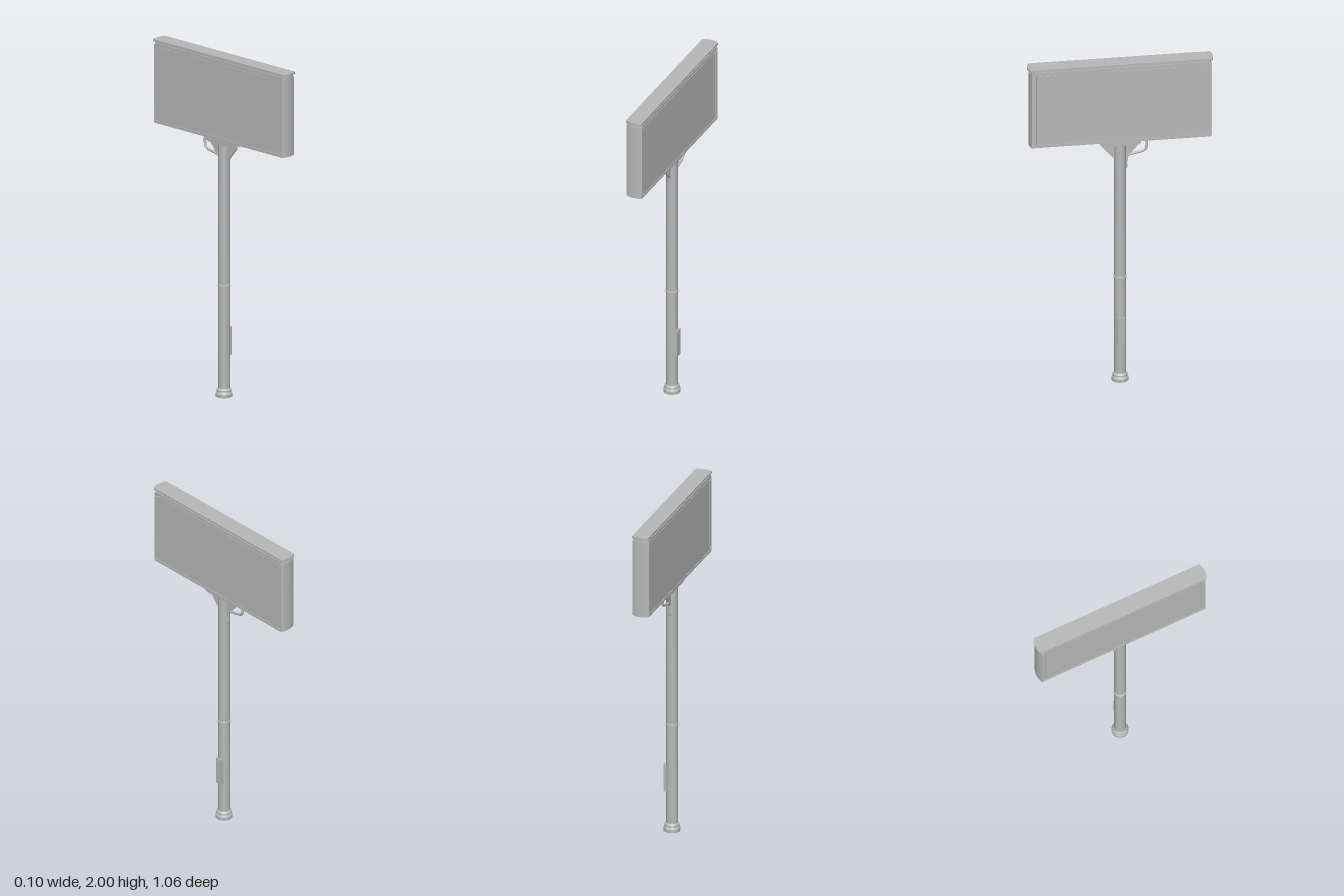
import * as THREE from 'three';
import { toCreasedNormals } from 'three/addons/utils/BufferGeometryUtils.js';

export function createModel() {
  const model = new THREE.Group();
  const grey = new THREE.MeshStandardMaterial({ color: 0xb8b8b8 });

  function add(name, geometry, x = 0, y = 0, z = 0) {
    const mesh = new THREE.Mesh(geometry, grey);
    mesh.name = name;
    mesh.position.set(x, y, z);
    model.add(mesh);
    return mesh;
  }
  const box = (w, h, d) => new THREE.BoxGeometry(w, h, d);

  // Upright slab whose plan has bowed ends; from/to are z distances
  function bowedSlab(halfW, from, to, bulge, height) {
    const plan = new THREE.Shape();
    plan.moveTo(-halfW, from);
    if (from < 0) plan.quadraticCurveTo(0, from - 2 * bulge, halfW, from);
    else plan.lineTo(halfW, from);
    plan.lineTo(halfW, to);
    plan.quadraticCurveTo(0, to + 2 * bulge, -halfW, to);
    const g = new THREE.ExtrudeGeometry(plan, { depth: height, bevelEnabled: false, curveSegments: 16 });
    g.rotateX(-Math.PI / 2);
    return toCreasedNormals(g, 0.5);
  }

  // Pole with flared foot and joint collar
  const profile = [
    [0, 0], [0.048, 0], [0.048, 0.018], [0.042, 0.032], [0.042, 0.04], [0.037, 0.046],
    [0.033, 0.05], [0.033, 0.645], [0.038, 0.647], [0.038, 0.656], [0.033, 0.658],
    [0.033, 1.49], [0, 1.49],
  ].map(([r, y]) => new THREE.Vector2(r, y));
  add('pole', toCreasedNormals(new THREE.LatheGeometry(profile, 32), 0.4));

  // Access door
  add('accessDoor', box(0.022, 0.165, 0.042), 0.031, 0.322, 0);
  const lock = add('doorLock', new THREE.CylinderGeometry(0.004, 0.004, 0.003, 12), 0.043, 0.385, 0);
  lock.rotation.z = Math.PI / 2;

  // Mounting plates and gussets under the cabinet
  add('mountPlate', box(0.066, 0.018, 0.23), 0, 1.497, 0);
  add('mountLowerPlate', box(0.056, 0.008, 0.21), 0, 1.485, 0);
  const rib = new THREE.Shape();
  rib.moveTo(0.025, 1.395);
  rib.lineTo(0.04, 1.395);
  rib.lineTo(0.104, 1.47);
  rib.lineTo(0.104, 1.486);
  rib.lineTo(0.025, 1.486);
  for (const side of [0, 1]) {
    const g = new THREE.ExtrudeGeometry(rib, { depth: 0.01, bevelEnabled: false });
    g.translate(0, 0, -0.005);
    add('gusset', g).rotation.y = -Math.PI / 2 + side * Math.PI;
  }

  // Cable conduit on the back
  const bend = new THREE.CatmullRomCurve3([
    [1.51, -0.152], [1.46, -0.152], [1.438, -0.146], [1.427, -0.127], [1.418, -0.085],
    [1.41, -0.052], [1.397, -0.037], [1.37, -0.034], [1.335, -0.034],
  ].map(([y, z]) => new THREE.Vector3(0, y, z)));
  add('conduit', new THREE.TubeGeometry(bend, 48, 0.0075, 12));
  const end = new THREE.SphereGeometry(0.0075, 12, 8);
  add('conduitEnd', end, 0, 1.335, -0.034);

  // Sign cabinet
  add('cabinetCore', bowedSlab(0.043, -0.508, 0.508, 0.01, 0.478), 0, 1.509, 0);
  add('cabinetCap', bowedSlab(0.049, -0.518, 0.518, 0.012, 0.012), 0, 1.988, 0);
  for (const side of [0, 1]) {
    const post = add('endCover', bowedSlab(0.049, 0.503, 0.511, 0.011, 0.458), 0, 1.513, 0);
    post.rotation.y = side * Math.PI;
  }

  // Frame and raised trim on both faces
  for (const s of [-1, 1]) {
    add('displayPanel', box(0.004, 0.43, 0.97), s * 0.0435, 1.742, 0);
    add('bottomRail', box(0.007, 0.014, 1.008), s * 0.0455, 1.52, 0);
    add('topRail', box(0.006, 0.014, 1.008), s * 0.045, 1.974, 0);
    for (const e of [-1, 1]) {
      add('sideTrim', box(0.006, 0.4, 0.014), s * 0.045, 1.75, e * 0.497);
    }
    const screw = add('panelScrew', new THREE.CylinderGeometry(0.004, 0.004, 0.003, 10), s * 0.046, 1.955, 0);
    screw.rotation.z = Math.PI / 2;
  }
  return model;
}
